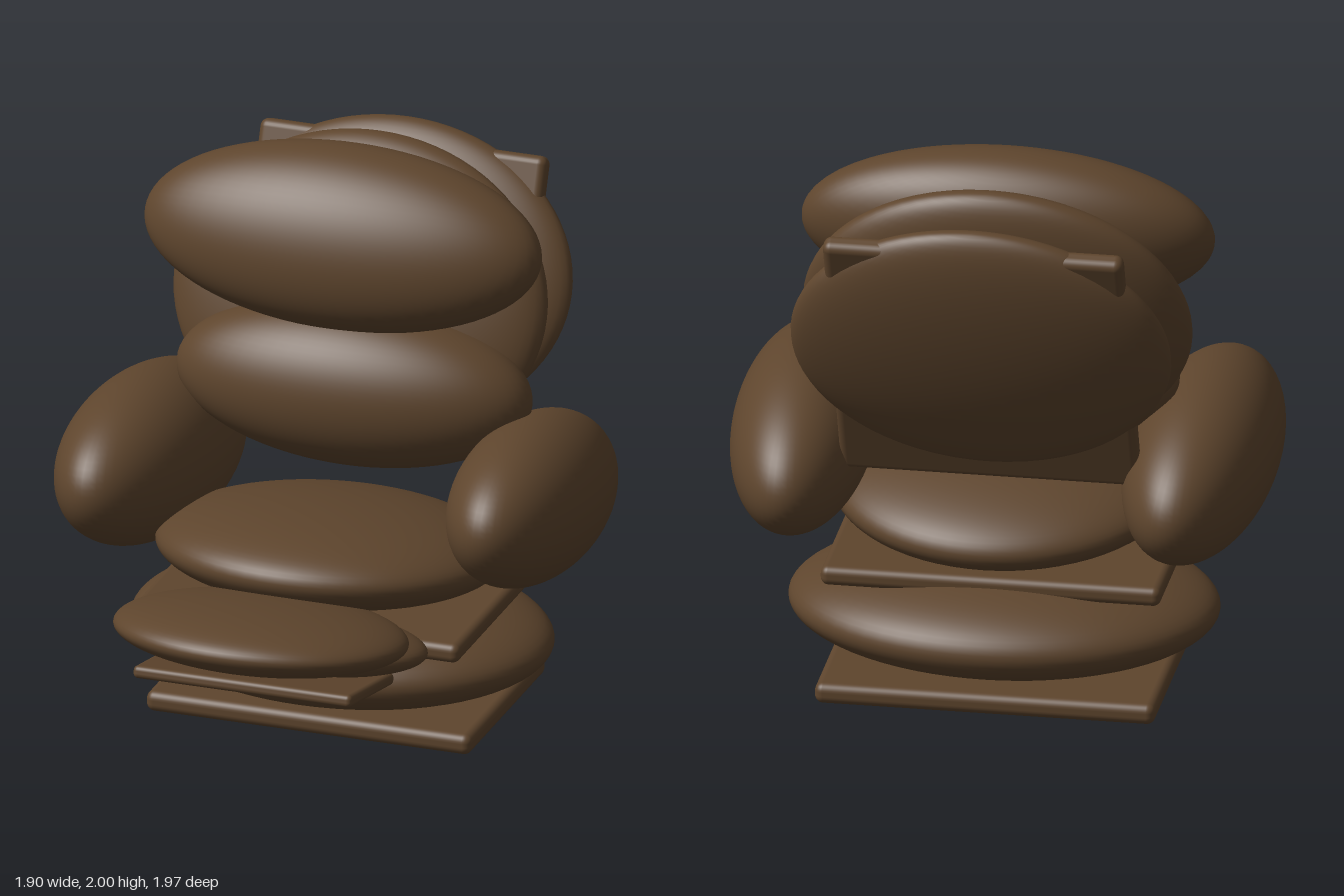
import * as THREE from 'three';
import { RoundedBoxGeometry } from 'three/addons/geometries/RoundedBoxGeometry.js';

export function createModel() {
  const group = new THREE.Group();
  const leather = new THREE.MeshStandardMaterial({ color: 0x5e452d });
  leather.name = 'brown leather';
  const ball = new THREE.SphereGeometry(1, 64, 40);

  const place = (mesh, name, position, tilt, yaw = 0, roll = 0) => {
    mesh.name = name;
    mesh.position.set(...position);
    mesh.rotation.set(tilt, yaw, roll, 'YXZ');
    group.add(mesh);
    return mesh;
  };

  // Stuffed ellipsoid cushion, given by its half sizes
  const cushion = (name, position, half, tilt = 0, yaw = 0, roll = 0) =>
    place(new THREE.Mesh(ball, leather), name, position, tilt, yaw, roll).scale.set(...half);

  // Thin board with rounded edges, given by its full sizes
  const board = (name, position, size, tilt = 0) =>
    place(new THREE.Mesh(new RoundedBoxGeometry(...size, 4, Math.min(...size) * 0.4), leather), name, position, tilt);

  // Base and seat
  board('basePlate', [0, 0.04, -0.305], [1.19, 0.075, 0.79]);
  cushion('baseCushion', [0, 0.265, -0.275], [0.75, 0.195, 0.56]);
  board('seatPlate', [0, 0.43, -0.185], [1.19, 0.07, 0.79]);
  cushion('seatCushion', [0.022, 0.645, -0.09], [0.61, 0.169, 0.573], -0.14);

  // Footrest, sloping up to the front
  board('footrestPlate', [0, 0.405, 0.535], [0.8, 0.045, 0.46], -0.2);
  board('footrestBracket', [0, 0.338, 0.385], [0.41, 0.035, 0.26], -0.2);
  cushion('calfCushion', [0, 0.455, 0.31], [0.51, 0.105, 0.31], -0.17);
  cushion('footrestCushion', [0, 0.575, 0.56], [0.52, 0.115, 0.433], -0.17);

  // Armrests
  cushion('rightArmrest', [-0.69, 0.838, -0.235], [0.255, 0.297, 0.605], -0.1, -0.06, 0.08);
  cushion('leftArmrest', [0.702, 0.855, -0.25], [0.247, 0.287, 0.58], -0.13, 0.02);

  // Backrest, leaning back
  cushion('lumbarCushion', [0.022, 1.16, -0.335], [0.645, 0.29, 0.275], -0.2);
  cushion('backCushion', [-0.015, 1.42, -0.5], [0.68, 0.565, 0.165], -0.35);
  cushion('headrest', [-0.027, 1.69, -0.355], [0.722, 0.325, 0.245], -0.46);
  cushion('backShell', [0, 1.41, -0.757], [0.665, 0.53, 0.14], -0.36);
  board('backPlate', [0, 1.343, -0.73], [1.05, 1.06, 0.075], -0.37);

  return group;
}
